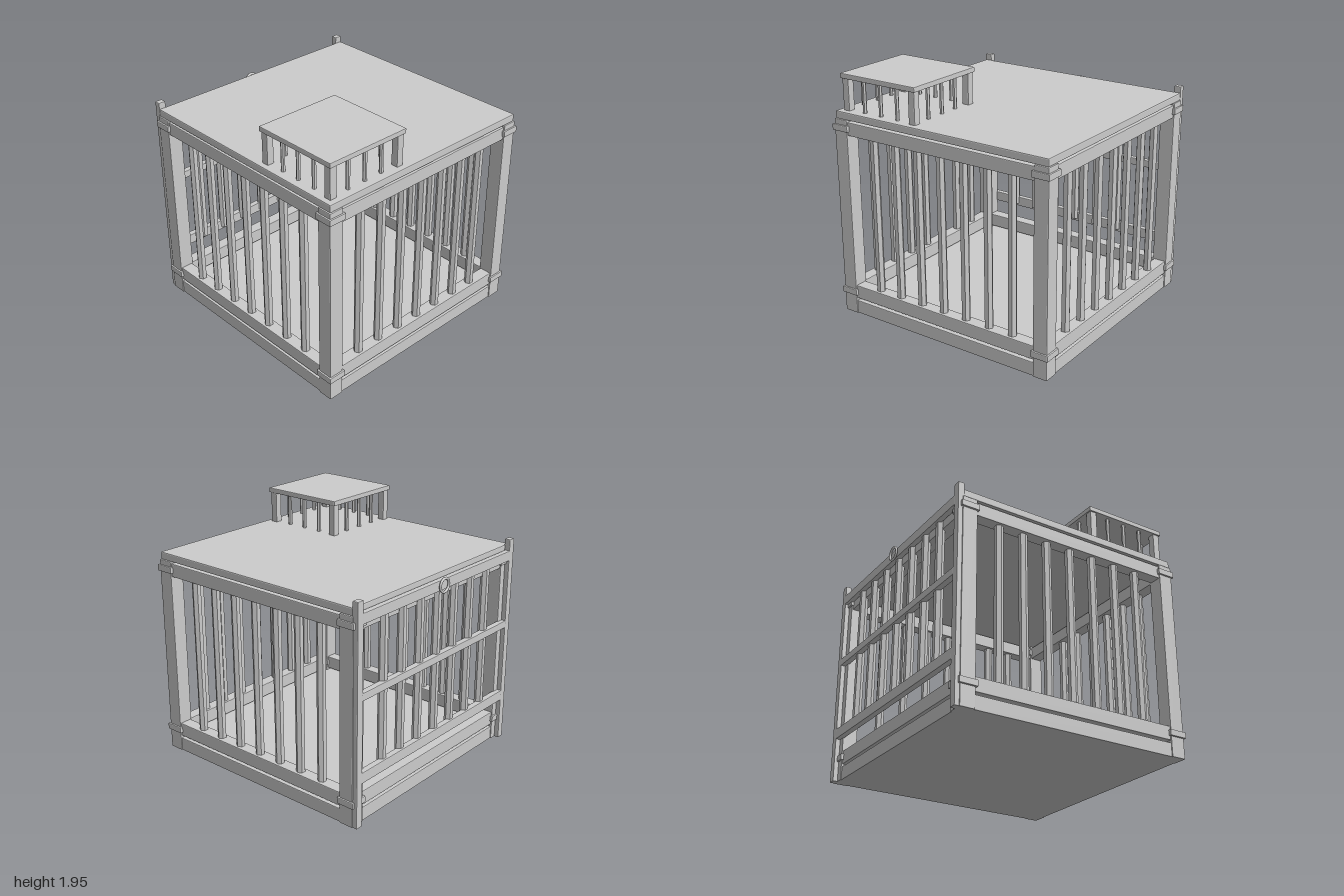
import * as THREE from 'three';
import { RoundedBoxGeometry } from 'three/addons/geometries/RoundedBoxGeometry.js';

const material = new THREE.MeshStandardMaterial({ color: 0xcccccc });
const flatMaterial = new THREE.MeshStandardMaterial({ color: 0xcccccc, flatShading: true });

const CZ = 0.025; // depth centre of the cage frame
const POST = 0.898; // offset of the corner posts from the centre
const STEP = 0.208; // spacing of the cage bars

function createGroup(name, parent) {
  const group = new THREE.Group();
  group.name = name;
  parent.add(group);
  return group;
}

// Box with slightly bevelled edges, standing between heights y0 and y1
function box(parent, name, x, z, y0, y1, w, d, bevel = 0.006) {
  const mesh = new THREE.Mesh(new RoundedBoxGeometry(w, y1 - y0, d, 1, bevel), flatMaterial);
  mesh.name = name;
  mesh.position.set(x, (y0 + y1) / 2, z);
  parent.add(mesh);
}

// Six-sided bar with its corners pointing along x
function bar(parent, name, x, z, y0, y1, r) {
  const geometry = new THREE.CylinderGeometry(r, r, y1 - y0, 6);
  geometry.rotateY(Math.PI / 6);
  const mesh = new THREE.Mesh(geometry, flatMaterial);
  mesh.name = name;
  mesh.position.set(x, (y0 + y1) / 2, z);
  parent.add(mesh);
}

export function createModel() {
  const model = new THREE.Group();
  model.name = 'cage';

  // Floor and roof slabs
  box(model, 'floor', 0, CZ, 0, 0.11, 1.9, 1.9);
  box(model, 'roof', 0, CZ, 1.6, 1.66, 1.9, 1.9, 0.008);

  // Corner posts with two bands each
  const frame = createGroup('frame', model);
  for (const sx of [-1, 1]) {
    for (const sz of [-1, 1]) {
      const x = sx * POST, z = CZ + sz * POST;
      box(frame, 'cornerPost', x, z, 0, 1.6, 0.12, 0.12);
      box(frame, 'lowerBand', x, z, 0.16, 0.21, 0.147, 0.147);
      box(frame, 'upperBand', x, z, 1.51, 1.56, 0.147, 0.147);
    }
  }

  // Rails along the four sides, bottom and top
  for (const [name, y0, y1] of [['bottomRail', 0.13, 0.24], ['topRail', 1.48, 1.585]]) {
    for (const s of [-1, 1]) {
      box(frame, name, 0, CZ + s * POST, y0, y1, 1.7, 0.1);
      box(frame, name, s * POST, CZ, y0, y1, 0.1, 1.7);
    }
  }

  // Seven bars on the front and on either side
  const bars = createGroup('bars', model);
  for (let i = -3; i <= 3; i++) {
    bar(bars, 'frontBar', i * STEP, CZ + POST, 0.23, 1.49, 0.034);
    for (const s of [-1, 1]) bar(bars, 'sideBar', s * POST, CZ + i * STEP, 0.23, 1.49, 0.034);
  }

  // Lifting gate at the back, running between two tall guide posts
  const gate = createGroup('backGate', model);
  for (const s of [-1, 1]) box(gate, 'guidePost', s * 0.922, -0.945, 0, 1.71, 0.06, 0.05);
  box(gate, 'gateTopRail', 0, -0.95, 1.54, 1.62, 1.8, 0.045);
  box(gate, 'gateMiddleRail', 0, -0.945, 0.98, 1.04, 1.8, 0.05);
  box(gate, 'gateLowerRail', 0, -0.945, 0.345, 0.43, 1.8, 0.05);
  for (let i = -3; i <= 3; i++) bar(gate, 'gateBar', i * STEP, -0.925, 0.37, 1.56, 0.034);

  // Pull ring on the gate
  const ring = new THREE.Mesh(new THREE.TorusGeometry(0.052, 0.01, 8, 24), material);
  ring.name = 'pullRing';
  ring.position.set(0, 1.58, -0.987);
  gate.add(ring);

  // Small barred box on the roof
  const hutch = createGroup('roofBox', model);
  hutch.position.set(-0.5625, 0, 0.585);
  box(hutch, 'boxTop', 0, 0, 1.905, 1.945, 0.71, 0.71);
  for (const sx of [-1, 1]) {
    for (const sz of [-1, 1]) {
      box(hutch, 'boxLeg', sx * 0.315, sz * 0.315, 1.655, 1.91, 0.058, 0.058);
    }
    for (let i = -1; i <= 1; i++) {
      bar(hutch, 'boxBar', i * 0.157, sx * 0.315, 1.655, 1.91, 0.016);
      bar(hutch, 'boxBar', sx * 0.315, i * 0.157, 1.655, 1.91, 0.016);
    }
  }

  return model;
}
